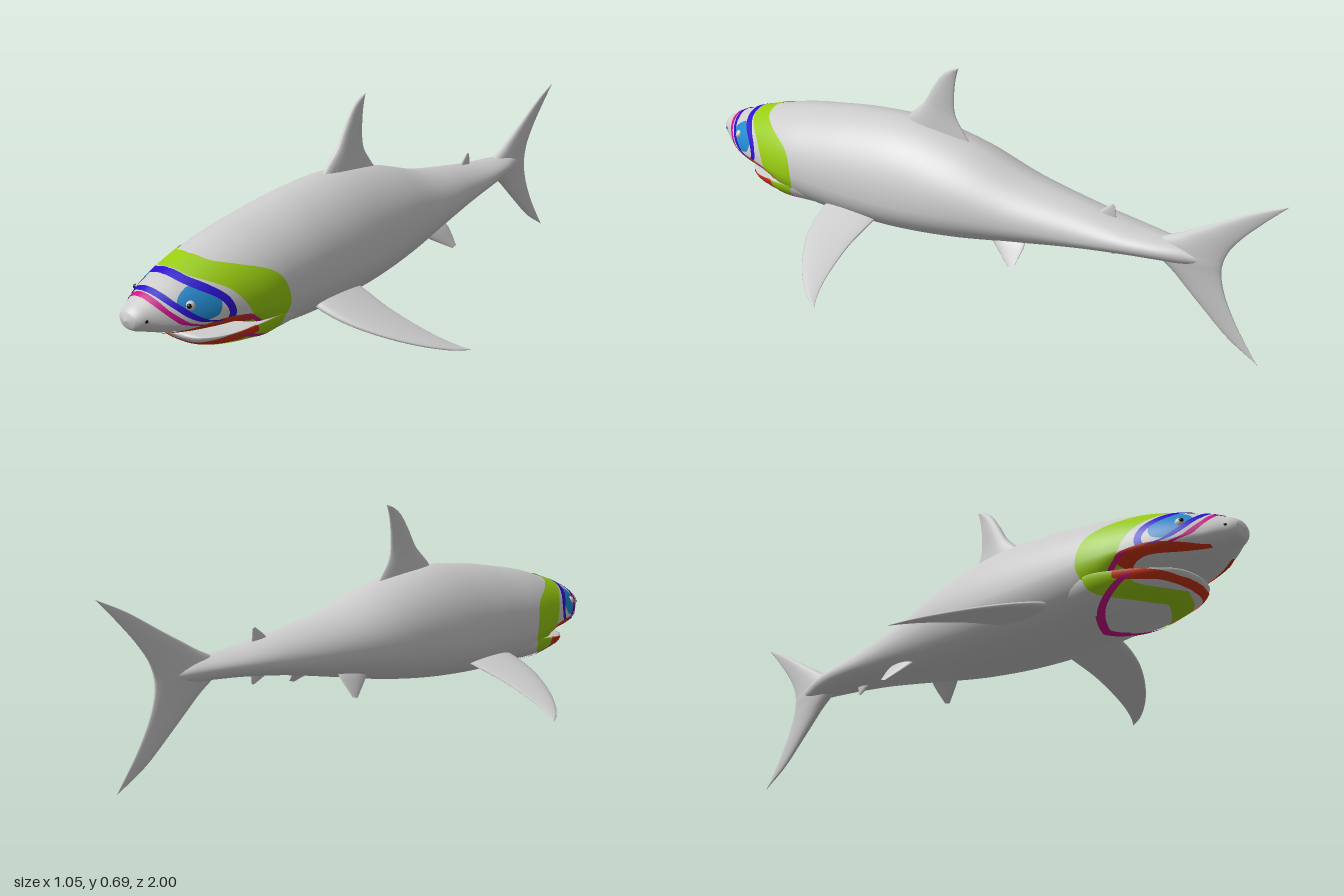
import * as THREE from 'three';

const material = (color) => new THREE.MeshStandardMaterial({ color, side: THREE.DoubleSide });
const GREY = material(0xcccccc);
const GREEN = material(0x99cc11), BLUE = material(0x2a10cc), SKY = material(0x2288cc);
const PINK = material(0xcc1188), RED = material(0xcc3311), WHITE = material(0xffffff), BLACK = material(0x111111);

// Cross-sections: z, half width, height of widest point, top, bottom
const BODY = [
  [1.0, 0, 0.275, 0.275, 0.275], [0.99, 0.032, 0.275, 0.298, 0.25], [0.96, 0.055, 0.272, 0.318, 0.237],
  [0.92, 0.082, 0.262, 0.338, 0.225], [0.87, 0.112, 0.258, 0.36, 0.217], [0.8, 0.14, 0.255, 0.385, 0.212],
  [0.72, 0.162, 0.252, 0.41, 0.205], [0.64, 0.178, 0.252, 0.43, 0.15], [0.56, 0.184, 0.255, 0.445, 0.127],
  [0.4, 0.189, 0.255, 0.472, 0.12], [0.2, 0.187, 0.26, 0.485, 0.13], [0, 0.17, 0.275, 0.455, 0.155],
  [-0.2, 0.135, 0.28, 0.395, 0.195], [-0.4, 0.1, 0.285, 0.36, 0.235], [-0.55, 0.078, 0.295, 0.338, 0.256],
  [-0.65, 0.058, 0.298, 0.33, 0.264], [-0.72, 0.036, 0.296, 0.322, 0.268], [-0.81, 0, 0.29, 0.29, 0.29],
];
const JAW = [
  [0.845, 0, 0.188, 0.188, 0.188], [0.838, 0.05, 0.188, 0.196, 0.178], [0.82, 0.088, 0.189, 0.199, 0.163],
  [0.77, 0.128, 0.192, 0.202, 0.146], [0.7, 0.155, 0.2, 0.21, 0.135], [0.62, 0.172, 0.21, 0.22, 0.126],
  [0.5, 0.165, 0.21, 0.22, 0.13],
];

// Smooth interpolation of a table row at any z
function sectionAt(table, z) {
  const n = table.length - 1;
  let i = 0;
  while (i < n - 1 && z < table[i + 1][0]) i++;
  const slope = (k, c) => {
    const a = table[Math.max(0, k - 1)], b = table[Math.min(n, k + 1)];
    return (b[c] - a[c]) / (b[0] - a[0]);
  };
  const [p, q] = [table[i], table[i + 1]];
  const h = q[0] - p[0], t = THREE.MathUtils.clamp((z - p[0]) / h, 0, 1), t2 = t * t, t3 = t2 * t;
  return [1, 2, 3, 4].map((c) => p[c] * (2 * t3 - 3 * t2 + 1) + q[c] * (3 * t2 - 2 * t3)
    + h * (slope(i, c) * (t3 - 2 * t2 + t) + slope(i + 1, c) * (t3 - t2)));
}

// Skin point: angle 90 is the back, 0 the left side, -90 the belly
function skin(table, z, degrees, lift = 0) {
  const [w, mid, top, bottom] = sectionAt(table, z);
  const a = THREE.MathUtils.degToRad(degrees), c = Math.cos(a), s = Math.sin(a);
  const x = Math.sign(c) * Math.pow(Math.abs(c), s > 0 ? 1.12 : 0.82) * w;
  const y = mid + s * (s > 0 ? top - mid : mid - bottom);
  return new THREE.Vector3(x + c * lift, y + s * lift, z);
}

// Surface through rows of points; closed rows wrap around
function surface(rows, closed) {
  const m = rows[0].length, idx = [];
  for (let i = 0; i < rows.length - 1; i++) {
    for (let j = 0; j < (closed ? m : m - 1); j++) {
      const k = (j + 1) % m, a = i * m + j, b = i * m + k, c = a + m, d = b + m;
      idx.push(a, c, b, b, c, d);
    }
  }
  const g = new THREE.BufferGeometry().setFromPoints(rows.flat());
  g.setIndex(idx);
  g.computeVertexNormals();
  return g;
}

function named(geometry, mat, name) {
  const mesh = new THREE.Mesh(geometry, mat);
  mesh.name = name;
  return mesh;
}

function loft(table, name) {
  const rows = [];
  const ring = (z) => Array.from({ length: 56 }, (_, j) => skin(table, z, (j * 360) / 56));
  for (let i = 0; i < table.length - 1; i++) {
    for (let k = 0; k < 6; k++) rows.push(ring(THREE.MathUtils.lerp(table[i][0], table[i + 1][0], k / 6)));
  }
  rows.push(ring(table[table.length - 1][0]));
  return named(surface(rows, true), GREY, name);
}

// Fin rows: leading point, trailing point, half thickness
function fin(rows, normal, name) {
  const n = new THREE.Vector3(...normal).normalize();
  const curve = (f) => new THREE.CatmullRomCurve3(rows.map((r) => new THREE.Vector3(...f(r))));
  const lead = curve((r) => r[0]), trail = curve((r) => r[1]);
  const steps = (rows.length - 1) * 5, out = [];
  for (let i = 0; i <= steps; i++) {
    const t = i / steps, k = Math.min(rows.length - 2, Math.floor(t * (rows.length - 1)));
    const th = THREE.MathUtils.lerp(rows[k][2], rows[k + 1][2], t * (rows.length - 1) - k);
    const a = lead.getPoint(t), b = trail.getPoint(t);
    out.push(Array.from({ length: 20 }, (_, j) => {
      const u = (j / 20) * Math.PI * 2, along = (1 - Math.cos(u)) / 2;
      return a.clone().lerp(b, along).addScaledVector(n, th * Math.sin(u) * (1.25 - 0.6 * along));
    }));
  }
  return named(surface(out, true), GREY, name);
}
// Upright fin rows: yLead, zLead, yTrail, zTrail, half thickness
const uprightFin = (rows, name) => fin(rows.map(([a, b, c, d, t]) => [[0, a, b], [0, c, d], t]), [1, 0, 0], name);

// Painted stripe on the skin; rows hold angle, z of both edges
function stripe(table, rows, mat, name, lift = 0.002) {
  const edge = (k) => new THREE.CatmullRomCurve3(rows.map((r) => new THREE.Vector3(r[k] / 100, r[k + 1], 0)));
  const e1 = edge(0), e2 = edge(2), out = [];
  for (let i = 0; i <= 48; i++) {
    const p = e1.getPoint(i / 48), q = e2.getPoint(i / 48);
    out.push(Array.from({ length: 9 }, (_, j) => {
      const v = p.clone().lerp(q, j / 8);
      return skin(table, v.y, v.x * 100, lift);
    }));
  }
  return named(surface(out, false), mat, name);
}
// Stripe running round the body: angle, front z, back z
const band = (table, rows, mat, name, lift) => stripe(table, rows.map(([a, f, b]) => [a, f, a, b]), mat, name, lift);

export function createModel() {
  const model = new THREE.Group();
  model.name = 'shark';
  model.add(loft(BODY, 'body'), loft(JAW, 'lowerJaw'));

  // Fins on the centre line
  model.add(uprightFin([
    [0.43, 0.27, 0.42, -0.02, 0.026], [0.49, 0.235, 0.47, 0.02, 0.022], [0.55, 0.175, 0.53, 0.06, 0.016],
    [0.61, 0.14, 0.59, 0.065, 0.013], [0.66, 0.105, 0.645, 0.06, 0.009], [0.684, 0.07, 0.68, 0.052, 0.006],
    [0.69, 0.05, 0.69, 0.048, 0.001]], 'dorsalFin'));
  model.add(uprightFin([
    [0.53, -1, 0.53, -1, 0.001], [0.49, -0.915, 0.46, -0.935, 0.005], [0.42, -0.8, 0.395, -0.88, 0.01],
    [0.36, -0.7, 0.34, -0.845, 0.017], [0.3, -0.61, 0.28, -0.83, 0.026], [0.225, -0.69, 0.21, -0.843, 0.017],
    [0.14, -0.78, 0.12, -0.885, 0.01], [0.06, -0.87, 0.05, -0.93, 0.005], [0.002, -0.965, 0, -0.965, 0.001]], 'tailFin'));
  model.add(uprightFin([[0.33, -0.42, 0.33, -0.5, 0.009], [0.36, -0.45, 0.355, -0.495, 0.006],
    [0.385, -0.482, 0.38, -0.492, 0.001]], 'secondDorsalFin'));
  model.add(uprightFin([[0.265, -0.42, 0.265, -0.5, 0.009], [0.24, -0.45, 0.245, -0.5, 0.006],
    [0.22, -0.49, 0.222, -0.5, 0.001]], 'analFin'));

  // Everything on one side, then mirrored
  const side = new THREE.Group();
  side.name = 'leftSide';
  const pectoral = [[0.12, 0.45, 0.26, 0.02], [0.18, 0.458, 0.265, 0.017], [0.27, 0.44, 0.273, 0.013], [0.36, 0.395, 0.268, 0.01],
    [0.44, 0.335, 0.255, 0.007], [0.5, 0.27, 0.235, 0.004], [0.527, 0.222, 0.22, 0.001]]
    .map(([x, zl, zt, t]) => { const y = 0.185 - (x - 0.15) * 0.3; return [[x, y, zl], [x, y, zt], t]; });
  side.add(fin(pectoral, [0.28, 1, 0], 'pectoralFin'));
  side.add(fin([
    [[0.07, 0.235, -0.09], [0.07, 0.24, -0.24], 0.012], [[0.1, 0.2, -0.14], [0.1, 0.21, -0.245], 0.009],
    [[0.14, 0.155, -0.215], [0.14, 0.16, -0.235], 0.001]], [1, 0.8, 0], 'pelvicFin'));

  // Face paint on the head
  side.add(band(BODY, [[90, 0.84, 0.775], [62, 0.83, 0.755], [45, 0.8, 0.7], [25, 0.75, 0.61],
    [0, 0.71, 0.58], [-25, 0.7, 0.59], [-50, 0.7, 0.62]], GREEN, 'greenBand'));
  side.add(band(BODY, [[90, 0.867, 0.843], [60, 0.858, 0.832], [40, 0.833, 0.802], [20, 0.79, 0.765],
    [5, 0.775, 0.755], [-6, 0.79, 0.765]], BLUE, 'upperBlueBand', 0.0025));
  side.add(band(BODY, [[90, 0.932, 0.915], [60, 0.926, 0.909], [30, 0.908, 0.89], [5, 0.87, 0.845],
    [-8, 0.81, 0.78]], BLUE, 'lowerBlueBand', 0.003));
  side.add(band(BODY, [[90, 0.949, 0.934], [50, 0.944, 0.928], [20, 0.926, 0.91], [-5, 0.89, 0.865],
    [-20, 0.84, 0.81]], PINK, 'pinkBand'));
  side.add(band(BODY, [[50, 0.856, 0.846], [46, 0.875, 0.825], [36, 0.893, 0.803], [24, 0.897, 0.79],
    [12, 0.88, 0.793], [5, 0.855, 0.805], [2, 0.835, 0.825]], SKY, 'eyePatch', 0.002));
  side.add(stripe(BODY, [[-50, 0.925, -62, 0.925], [-20, 0.86, -48, 0.86], [0, 0.78, -35, 0.78],
    [-5, 0.72, -45, 0.73], [-20, 0.69, -60, 0.715]], RED, 'upperLip', 0.003));

  // Paint under the mouth
  side.add(stripe(JAW, [[-90, 0.838, -90, 0.818], [-50, 0.832, -58, 0.808], [-10, 0.8, -35, 0.78],
    [5, 0.74, -25, 0.73], [12, 0.69, -15, 0.68]], RED, 'lowerLip', 0.003));
  side.add(band(JAW, [[5, 0.71, 0.59], [-30, 0.73, 0.61], [-60, 0.78, 0.69], [-90, 0.81, 0.745]], GREEN, 'chinBand'));
  for (const table of [BODY, JAW]) {
    side.add(band(table, [[-10, 0.74, 0.715], [-35, 0.68, 0.65], [-60, 0.61, 0.58], [-90, 0.55, 0.525]],
      PINK, 'throatBand', 0.003));
  }

  // Eye and nostril
  const ball = (r, mat, name, z, angle, lift) => {
    const mesh = named(new THREE.SphereGeometry(r, 20, 14), mat, name);
    mesh.position.copy(skin(BODY, z, angle, lift));
    return mesh;
  };
  side.add(ball(0.014, WHITE, 'eye', 0.865, 25, -0.004), ball(0.007, BLACK, 'pupil', 0.873, 25, 0.006));
  side.add(ball(0.005, BLACK, 'nostril', 0.968, 5, -0.003));

  const mirrored = side.clone();
  mirrored.name = 'rightSide';
  mirrored.scale.x = -1;
  model.add(side, mirrored);
  return model;
}
